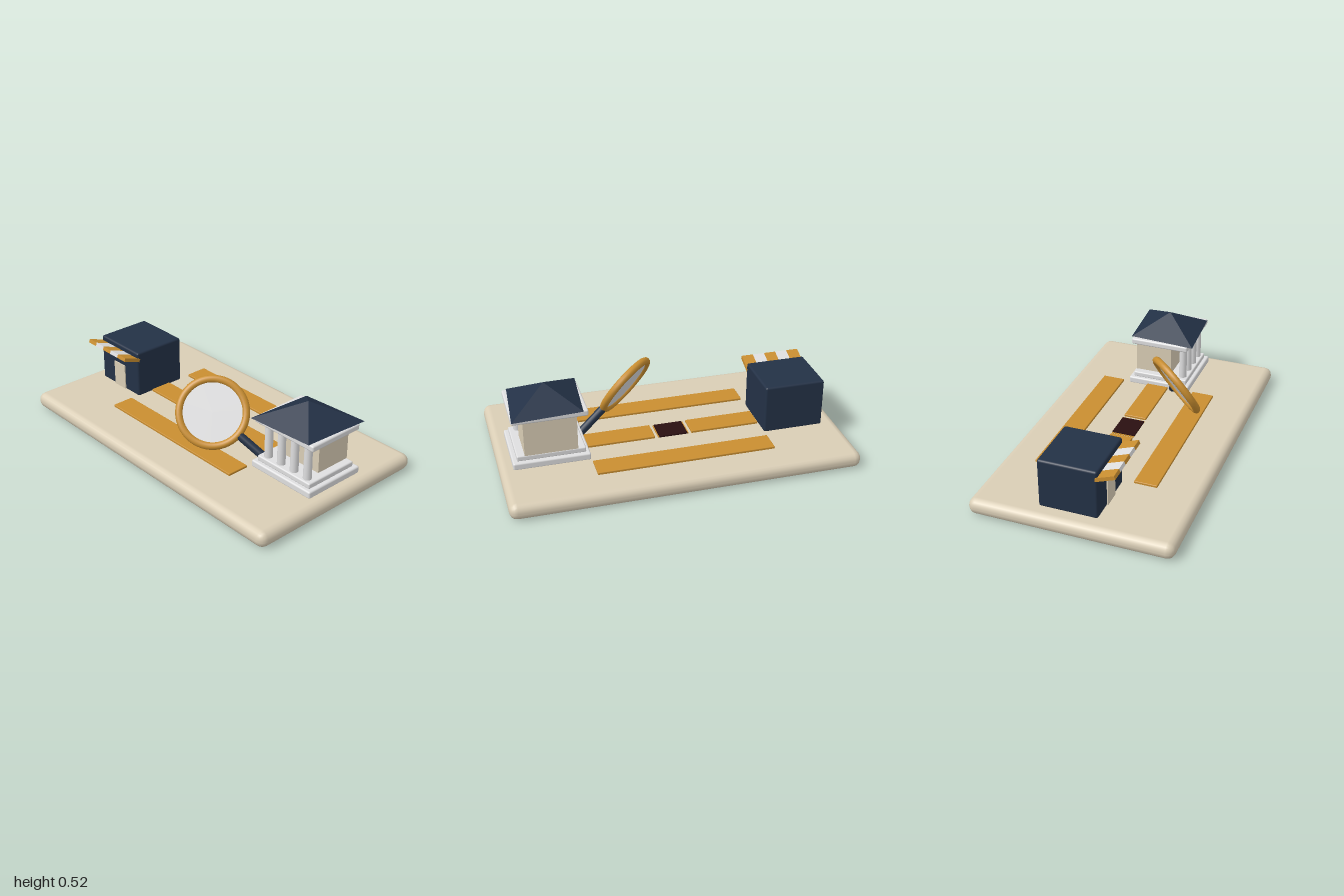
import * as THREE from 'three';
import { RoundedBoxGeometry } from 'three/addons/geometries/RoundedBoxGeometry.js';

const mat = (name, color) => {
  const m = new THREE.MeshStandardMaterial({ color });
  m.name = name;
  return m;
};

export function createModel() {
  const sand = mat('sand', 0xd9cdb5);
  const navy = mat('navy', 0x233146);
  const gold = mat('gold', 0xc98e30);
  const white = mat('white', 0xdededf);
  const maroon = mat('dark maroon', 0x2a0f10);

  const model = new THREE.Group();
  model.name = 'diorama';

  const group = (name) => {
    const g = new THREE.Group();
    g.name = name;
    model.add(g);
    return g;
  };
  const add = (parent, name, geometry, material) => {
    const m = new THREE.Mesh(geometry, material);
    m.name = name;
    parent.add(m);
    return m;
  };
  // Box given by its lower and upper limits; radius > 0 rounds the edges
  const box = (parent, name, material, [x0, x1], [y0, y1], [z0, z1], radius = 0) => {
    const s = [x1 - x0, y1 - y0, z1 - z0];
    const g = radius ? new RoundedBoxGeometry(...s, 2, radius) : new THREE.BoxGeometry(...s);
    g.translate((x0 + x1) / 2, (y0 + y1) / 2, (z0 + z1) / 2);
    return add(parent, name, g, material);
  };

  // Base slab
  box(model, 'base', sand, [-1, 1], [0, 0.095], [-0.58, 0.58], 0.045);

  // Paths; the middle one is broken by a dark gap
  const paths = group('paths');
  const pathY = [0.09, 0.108];
  box(paths, 'backPath', gold, [-0.54, 0.487], pathY, [-0.39, -0.257], 0.004);
  box(paths, 'frontPath', gold, [-0.54, 0.487], pathY, [0.197, 0.33], 0.004);
  box(paths, 'middlePathLeft', gold, [-0.54, -0.133], pathY, [-0.1, 0.035], 0.004);
  box(paths, 'middlePathRight', gold, [0.087, 0.487], pathY, [-0.1, 0.035], 0.004);
  box(paths, 'gap', maroon, [-0.107, 0.06], [0.09, 0.104], [-0.1, 0.035]);
  for (const x of [-0.115, 0.062]) {
    box(paths, 'gapEdge', gold, [x, x + 0.006], [0.09, 0.1], [-0.1, 0.035]);
  }

  // Shop with door and striped awning that rises outward
  const shop = group('shop');
  box(shop, 'shopBody', navy, [-0.903, -0.545], [0.09, 0.38], [-0.2, 0.135], 0.012);
  box(shop, 'shopDoor', sand, [-0.775, -0.673], [0.095, 0.252], [0.134, 0.142]);
  const awning = new THREE.Group();
  awning.name = 'awning';
  awning.position.set(-0.724, 0.352, 0.175);
  awning.rotation.x = -0.35;
  shop.add(awning);
  const stripe = 0.0716;
  for (let i = 0; i < 5; i++) {
    const x = (i - 2.5) * stripe;
    box(awning, 'awningStripe', i % 2 ? white : gold, [x, x + stripe], [-0.011, 0.011], [-0.06, 0.06]);
  }

  // Columned building
  const temple = group('columnedBuilding');
  box(temple, 'lowerStep', white, [0.488, 0.925], [0.09, 0.133], [-0.222, 0.168], 0.01);
  box(temple, 'upperStep', white, [0.51, 0.9], [0.13, 0.163], [-0.197, 0.145], 0.008);
  box(temple, 'hall', sand, [0.555, 0.855], [0.16, 0.37], [-0.195, 0.03]);
  box(temple, 'lintel', white, [0.49, 0.92], [0.366, 0.403], [-0.207, 0.152], 0.01);
  for (let i = 0; i < 4; i++) {
    const column = add(temple, 'column', new THREE.CylinderGeometry(0.022, 0.024, 0.21, 16), white);
    column.position.set(0.56 + i * 0.0967, 0.265, 0.108);
  }
  // Diamond-based roof, slightly out of square
  const roofGeometry = new THREE.ConeGeometry(1, 0.113, 4, 1).toNonIndexed();
  roofGeometry.scale(0.302, 1, 0.264);
  roofGeometry.rotateY(Math.PI / 4);
  roofGeometry.computeVertexNormals();
  add(temple, 'roof', roofGeometry, navy).position.set(0.706, 0.459, -0.03);

  // Magnifying glass: the rim lies in local XY, the handle runs along -Y
  const glass = group('magnifyingGlass');
  const normal = new THREE.Vector3(0.6, 0.52, 0.6).normalize();
  const up = new THREE.Vector3(-0.805, 0.517, 0.29);
  up.addScaledVector(normal, -up.dot(normal)).normalize();
  const side = new THREE.Vector3().crossVectors(up, normal);
  glass.quaternion.setFromRotationMatrix(new THREE.Matrix4().makeBasis(side, up, normal));
  glass.position.set(0.192, 0.311, 0.187);
  add(glass, 'rim', new THREE.TorusGeometry(0.187, 0.022, 10, 48), gold);
  const lens = new THREE.CylinderGeometry(0.178, 0.178, 0.012, 48).rotateX(Math.PI / 2);
  add(glass, 'lens', lens, white);
  const handle = new THREE.CylinderGeometry(0.024, 0.024, 0.22, 16);
  add(glass, 'handle', handle, navy).position.y = -0.308;

  return model;
}
